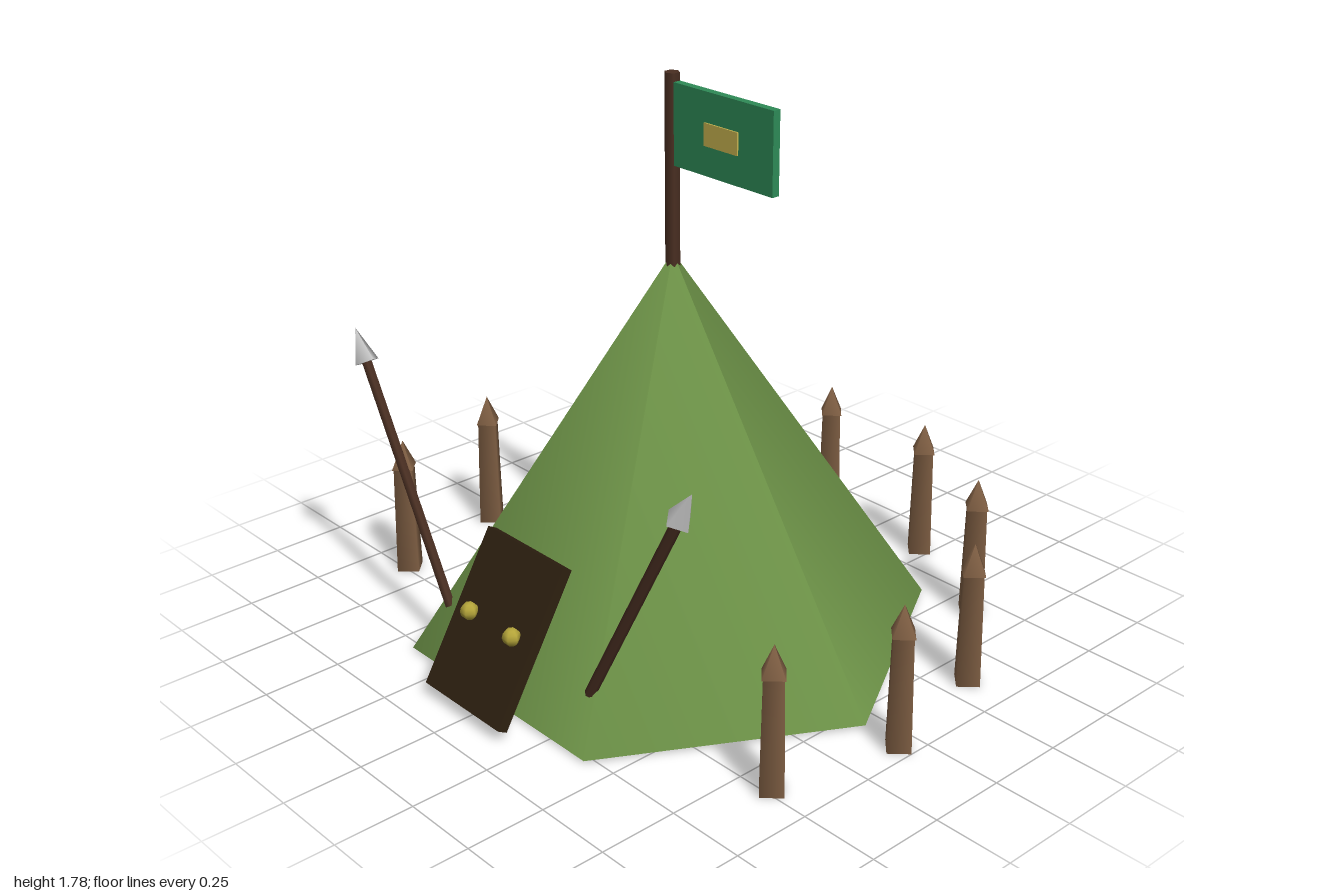
import * as THREE from 'three';

export function createModel() {
  const model = new THREE.Group();
  model.name = 'tentCamp';

  const material = (name, color) => {
    const m = new THREE.MeshStandardMaterial({ color });
    m.name = name;
    return m;
  };
  const canvas = material('greenCanvas', 0x6b9046);
  const stakeWood = material('stakeWood', 0x7d5d42);
  const darkWood = material('darkWood', 0x4a2f22);
  const doorWood = material('doorWood', 0x2e2010);
  const flagCloth = material('flagGreen', 0x2e8b57);
  const emblemGold = material('emblemGold', 0xc8b450);
  const knobGold = material('knobGold', 0xb5a53a);
  const steel = material('steel', 0xc0c0c0);

  const add = (parent, name, geometry, mat, x, y, z) => {
    const mesh = new THREE.Mesh(geometry, mat);
    mesh.name = name;
    mesh.position.set(x, y, z);
    parent.add(mesh);
    return mesh;
  };

  const centreZ = 0.07;

  // Six-sided tent with corners at left and right
  const tent = add(model, 'tent', new THREE.ConeGeometry(0.823, 1.23, 6), canvas, 0, 0.625, centreZ);
  tent.rotation.y = Math.PI / 2;

  // Flagpole, flag and an emblem on both faces
  add(model, 'flagpole', new THREE.CylinderGeometry(0.023, 0.023, 0.63, 6), darkWood, 0, 1.465, centreZ);
  add(model, 'flag', new THREE.BoxGeometry(0.4, 0.245, 0.025), flagCloth, 0.22, 1.633, centreZ);
  for (const side of [-1, 1]) {
    add(model, 'flagEmblem', new THREE.BoxGeometry(0.135, 0.067, 0.006), emblemGold,
      0.217, 1.633, centreZ + side * 0.0145);
  }

  // Door slab leaning with the slope, with two knobs
  const door = add(model, 'door', new THREE.BoxGeometry(0.35, 0.5, 0.035), doorWood, 0, 0.252, 0.76);
  door.rotation.x = -0.53;
  for (const side of [-1, 1]) {
    add(model, 'doorKnob', new THREE.SphereGeometry(0.028, 6, 6), knobGold, side * 0.1, 0.275, 0.785);
  }

  // Pair of spears leaning outwards
  for (const side of [-1, 1]) {
    const spear = new THREE.Group();
    spear.name = side > 0 ? 'leftSpear' : 'rightSpear';
    spear.position.set(side * 0.333, 0.155, 0.69);
    spear.rotation.z = -side * 0.495;
    add(spear, 'spearShaft', new THREE.CylinderGeometry(0.017, 0.017, 0.8, 6), darkWood, 0, 0.4, 0);
    add(spear, 'spearHead', new THREE.ConeGeometry(0.042, 0.11, 4), steel, 0, 0.842, 0);
    model.add(spear);
  }

  // Ring of fourteen stake places, with the four at the entrance left open
  const postGeometry = new THREE.CylinderGeometry(0.041, 0.05, 0.37, 4);
  const tipGeometry = new THREE.ConeGeometry(0.047, 0.094, 4);
  for (let i = -1; i <= 8; i++) {
    const angle = (i / 14) * Math.PI * 2;
    const stake = new THREE.Group();
    stake.name = 'stake';
    stake.position.set(Math.cos(angle) * 0.95, 0, centreZ - Math.sin(angle) * 0.95);
    add(stake, 'stakePost', postGeometry, stakeWood, 0, 0.185, 0);
    add(stake, 'stakeTip', tipGeometry, stakeWood, 0, 0.417, 0);
    model.add(stake);
  }

  return model;
}
